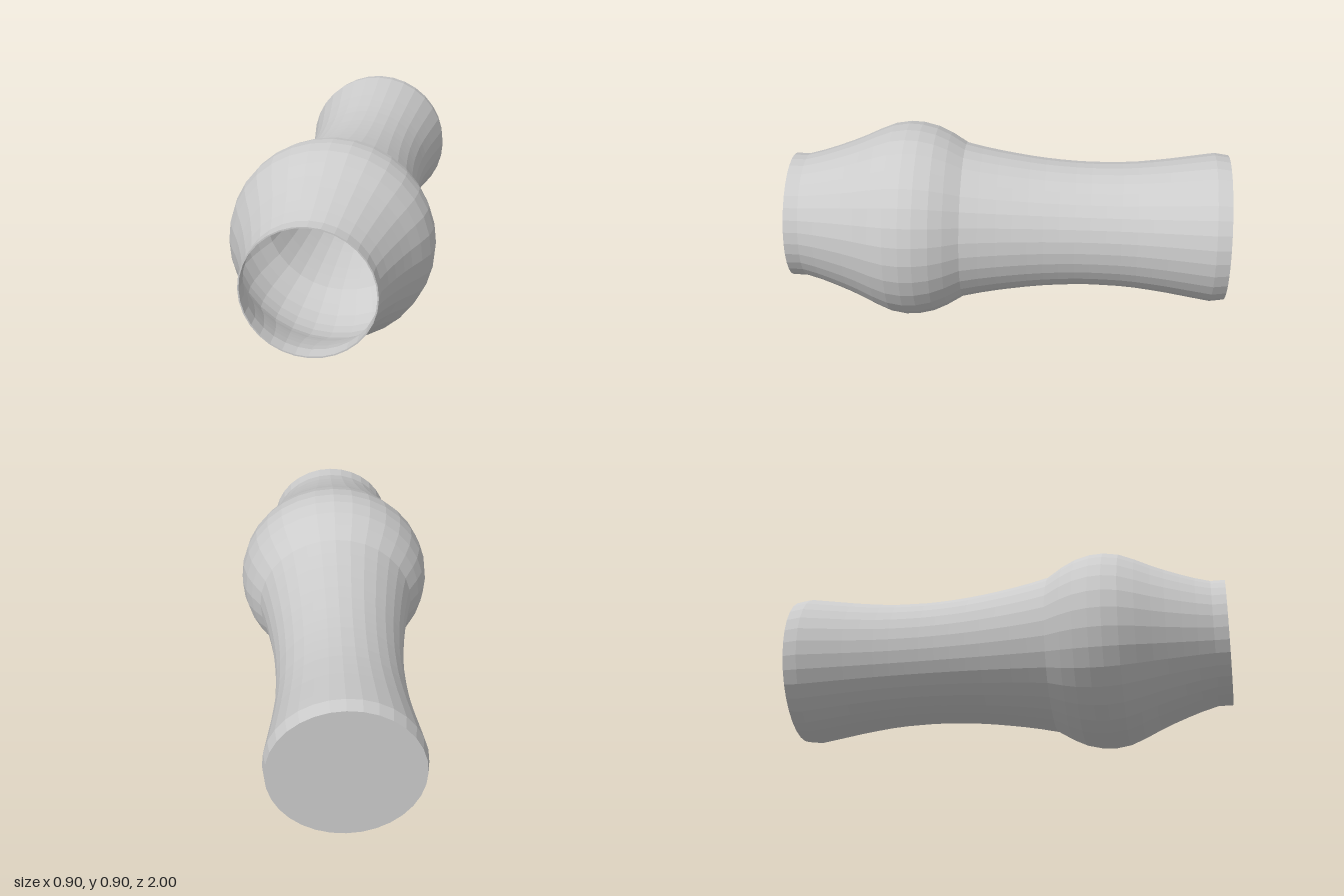
import * as THREE from 'three';

export function createModel() {
  const group = new THREE.Group();
  group.name = 'vase';
  const material = new THREE.MeshStandardMaterial({ color: 0xcccccc, flatShading: true });

  // Outer profile from the closed base to the open mouth: [z, radius]
  const profile = [
    [-1, 0.333], [-0.935, 0.342], [-0.87, 0.332], [-0.8, 0.321], [-0.73, 0.31], [-0.66, 0.301],
    [-0.59, 0.293], [-0.52, 0.288], [-0.45, 0.286], [-0.38, 0.285], [-0.31, 0.287],
    [-0.24, 0.291], [-0.17, 0.297], [-0.1, 0.305], [-0.03, 0.315], [0.04, 0.326],
    [0.12, 0.341], [0.2, 0.359], [0.27, 0.402], [0.33, 0.43], [0.4, 0.447],
    [0.46, 0.45], [0.53, 0.439], [0.6, 0.411], [0.67, 0.378], [0.73, 0.353],
    [0.8, 0.327], [0.865, 0.305], [0.935, 0.286], [1, 0.286],
  ];
  const wall = 0.006;
  const outer = profile.map(([z, r]) => new THREE.Vector2(r, z));
  const inner = profile.map(([z, r]) => new THREE.Vector2(r - wall, z)).reverse();
  inner[inner.length - 1].y += wall;

  // Closed base, outer wall, rim, inner wall and inner floor in one turned shell
  const points = [
    new THREE.Vector2(0, -1), ...outer, ...inner, new THREE.Vector2(0, -1 + wall),
  ];
  const geometry = new THREE.LatheGeometry(points, 32);
  geometry.rotateX(Math.PI / 2); // lay it down, mouth to the front
  geometry.translate(0, 0.45, 0);

  const body = new THREE.Mesh(geometry, material);
  body.name = 'vaseBody';
  group.add(body);
  return group;
}
